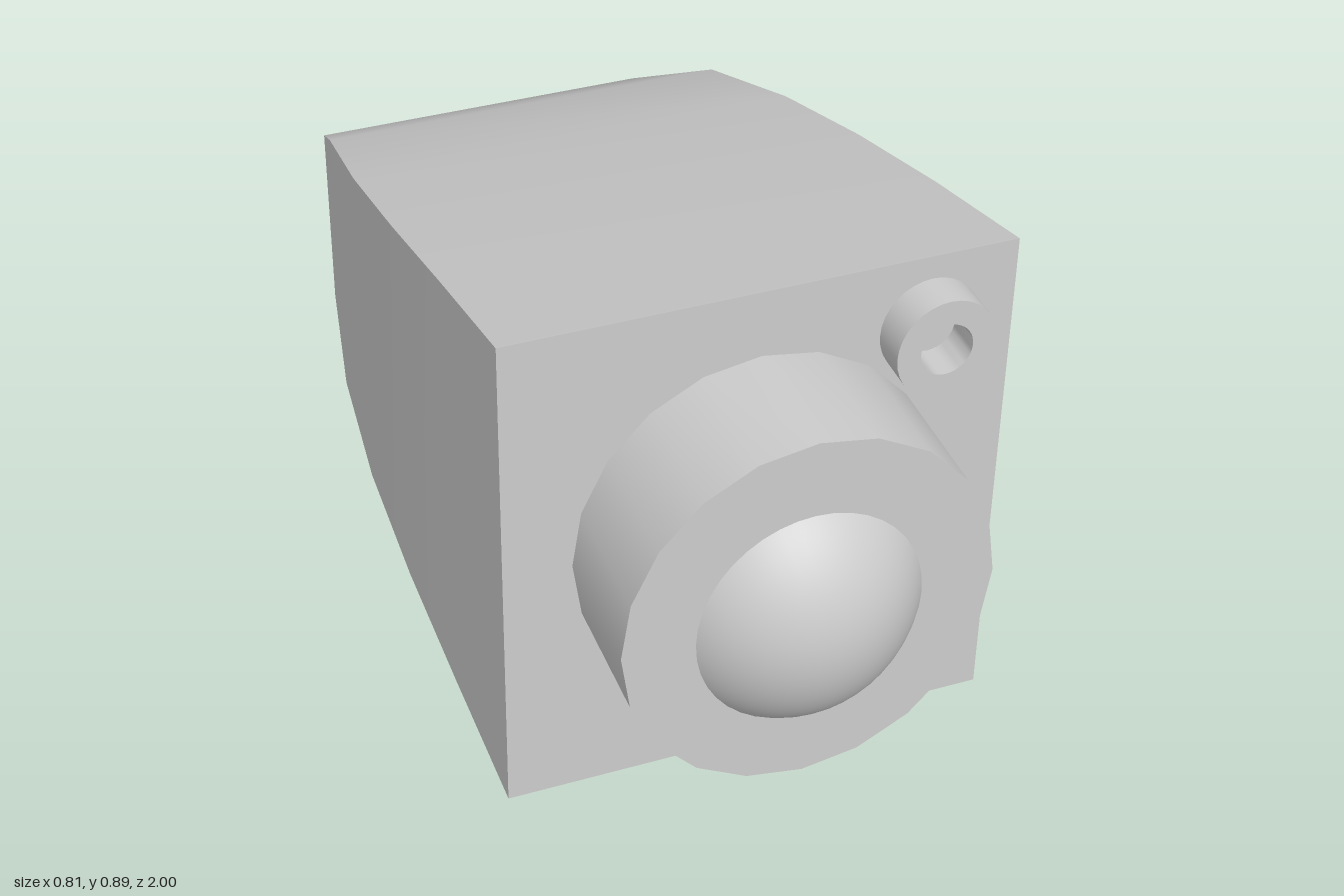
import * as THREE from 'three';
import { toCreasedNormals } from 'three/addons/utils/BufferGeometryUtils.js';

const material = new THREE.MeshStandardMaterial({ color: 0xcccccc });

function addPart(group, name, geometry, x = 0, y = 0, z = 0) {
  const mesh = new THREE.Mesh(geometry, material);
  mesh.name = name;
  mesh.position.set(x, y, z);
  group.add(mesh);
  return mesh;
}

// Tapering housing lofted through rectangular cross-sections [z, half width, height]
function housingGeometry() {
  const sections = [
    [0.69, 0.405, 0.89], [0.408, 0.405, 0.815], [0.127, 0.403, 0.733],
    [-0.155, 0.393, 0.645], [-0.437, 0.365, 0.545], [-0.718, 0.312, 0.375],
    [-1, 0.205, 0.02],
  ];
  const rings = sections.map(([z, w, h]) => [[-w, 0, z], [w, 0, z], [w, h, z], [-w, h, z]]);
  const positions = [];
  const quad = (a, b, c, d) => positions.push(...a, ...b, ...c, ...a, ...c, ...d);
  quad(...rings[0]);
  for (let i = 0; i < rings.length - 1; i++) {
    for (let k = 0; k < 4; k++) {
      const n = (k + 1) % 4;
      quad(rings[i][k], rings[i + 1][k], rings[i + 1][n], rings[i][n]);
    }
  }
  quad(...[...rings.at(-1)].reverse());
  const geometry = new THREE.BufferGeometry();
  geometry.setAttribute('position', new THREE.Float32BufferAttribute(positions, 3));
  return toCreasedNormals(geometry, 0.5);
}

// Elliptical sleeve with an optional hole, extruded forward
function sleeveGeometry(rx, ry, depth, segments, hole) {
  const ellipse = (a, b) => Array.from({ length: segments }, (_, i) => {
    const t = Math.PI / 2 + (i / segments) * Math.PI * 2;
    return new THREE.Vector2(a * Math.cos(t), b * Math.sin(t));
  });
  const shape = new THREE.Shape(ellipse(rx, ry));
  if (hole) shape.holes.push(new THREE.Path(ellipse(...hole).reverse()));
  return toCreasedNormals(new THREE.ExtrudeGeometry(shape, { depth, bevelEnabled: false }), 0.6);
}

export function createModel() {
  const group = new THREE.Group();
  group.name = 'securityCamera';

  addPart(group, 'housing', housingGeometry());
  addPart(group, 'lensBarrel', sleeveGeometry(0.295, 0.32, 0.215, 20), 0, 0.455, 0.69);

  // Shallow glass dome: a spherical cap facing forward
  const rim = 0.195, rise = 0.095;
  const radius = (rim * rim + rise * rise) / (2 * rise);
  const cap = new THREE.SphereGeometry(radius, 40, 14, 0, Math.PI * 2, 0, Math.asin(rim / radius));
  cap.translate(0, rise - radius, 0);
  cap.rotateX(Math.PI / 2);
  cap.scale(0.92, 1, 1);
  addPart(group, 'lens', cap, 0, 0.447, 0.905);

  // Small hollow sensor ring in the upper corner
  addPart(group, 'sensorRing', sleeveGeometry(0.08, 0.087, 0.062, 32, [0.042, 0.045]), 0.268, 0.763, 0.69);

  return group;
}
